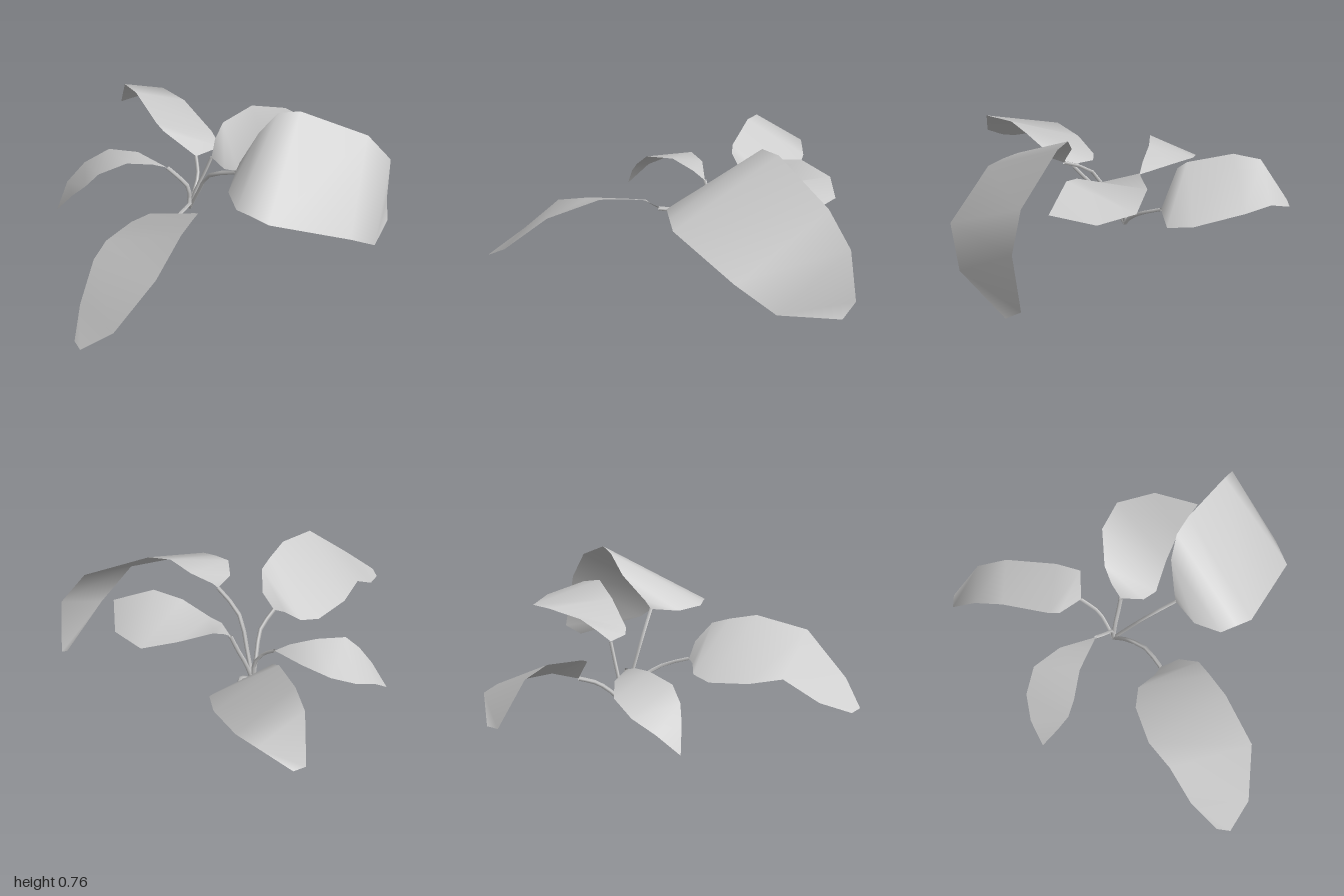
import * as THREE from 'three';

const leafGrey = new THREE.MeshStandardMaterial({ color: 0xcccccc, side: THREE.DoubleSide });
leafGrey.name = 'leafGrey';

// Each leaf: stem path, and cross rows [left edge, right edge] running from stem to tip
const root = [-0.12, 0.02, -0.06];
const plants = {
  largeFrontLeft: {
    stem: [root, [-0.095, 0.17, 0.01], [-0.05, 0.38, 0.12], [0.06, 0.475, 0.25]],
    rows: [
      [[0.09, 0.52, 0.23], [-0.02, 0.46, 0.39]],
      [[0.22, 0.65, 0.16], [-0.02, 0.46, 0.545]],
      [[0.33, 0.755, 0.15], [0.05, 0.45, 0.615]],
      [[0.45, 0.76, 0.175], [0.12, 0.43, 0.68]],
      [[0.82, 0.59, 0.27], [0.56, 0.295, 0.76]],
      [[0.965, 0.40, 0.28], [0.75, 0.12, 0.65]],
      [[0.985, 0.07, 0.235], [0.96, 0, 0.33]],
    ],
  },
  frontRight: {
    stem: [root, [-0.15, 0.17, 0.04], [-0.18, 0.23, 0.16], [-0.27, 0.275, 0.285]],
    rows: [
      [[-0.21, 0.34, 0.37], [-0.33, 0.27, 0.265]],
      [[-0.215, 0.43, 0.485], [-0.42, 0.25, 0.205]],
      [[-0.27, 0.455, 0.565], [-0.53, 0.235, 0.23]],
      [[-0.36, 0.48, 0.69], [-0.70, 0.255, 0.37]],
      [[-0.55, 0.405, 0.91], [-0.80, 0.28, 0.53]],
      [[-0.80, 0.176, 0.995], [-0.915, 0.14, 0.70]],
      [[-0.97, 0.065, 0.955], [-0.985, 0.06, 0.88]],
    ],
  },
  backRight: {
    stem: [root, [-0.13, 0.17, -0.065], [-0.18, 0.24, -0.08], [-0.235, 0.29, -0.12]],
    rows: [
      [[-0.32, 0.33, -0.12], [-0.37, 0.31, -0.285]],
      [[-0.47, 0.365, -0.125], [-0.52, 0.29, -0.385]],
      [[-0.64, 0.345, -0.095], [-0.67, 0.23, -0.375]],
      [[-0.72, 0.27, -0.10], [-0.79, 0.165, -0.305]],
      [[-0.79, 0.19, -0.14], [-0.875, 0.055, -0.205]],
    ],
  },
  back: {
    stem: [root, [-0.09, 0.08, -0.1], [-0.04, 0.15, -0.18], [-0.02, 0.2, -0.295]],
    rows: [
      [[-0.2, 0.38, -0.35], [0.15, 0.185, -0.365]],
      [[-0.23, 0.41, -0.40], [0.135, 0.2, -0.51]],
      [[-0.29, 0.465, -0.655], [0.035, 0.265, -0.78]],
      [[-0.325, 0.43, -0.81], [-0.065, 0.285, -0.915]],
      [[-0.32, 0.19, -0.975], [-0.25, 0.185, -1.0]],
    ],
  },
  left: {
    stem: [root, [-0.08, 0.15, -0.062], [-0.03, 0.26, -0.06], [0.01, 0.36, -0.06]],
    rows: [
      [[0.05, 0.43, -0.13], [0.05, 0.36, 0.065]],
      [[0.115, 0.49, -0.195], [0.115, 0.37, 0.115]],
      [[0.315, 0.51, -0.285], [0.27, 0.50, 0.12]],
      [[0.515, 0.465, -0.27], [0.43, 0.565, 0.135]],
      [[0.655, 0.45, -0.09], [0.66, 0.48, 0.17]],
    ],
  },
};

// Bent sheet: a triangle at the stem, then a smooth strip of quads
function bladeGeometry(base, rows) {
  const index = [0, 2, 1];
  for (let i = 0; i < rows.length - 1; i++) {
    const a = 1 + i * 2;
    index.push(a, a + 1, a + 2, a + 1, a + 3, a + 2);
  }
  const geo = new THREE.BufferGeometry();
  geo.setAttribute('position', new THREE.Float32BufferAttribute([base, ...rows.flat()].flat(), 3));
  geo.setIndex(index);
  geo.computeVertexNormals();
  return geo;
}

function stemGeometry(points) {
  const curve = new THREE.CatmullRomCurve3(points.map((p) => new THREE.Vector3(...p)));
  return new THREE.TubeGeometry(curve, 6, 0.012, 4);
}

export function createModel() {
  const model = new THREE.Group();
  model.name = 'pottedLeafCluster';
  for (const [name, { stem, rows }] of Object.entries(plants)) {
    const leaf = new THREE.Group();
    leaf.name = name + 'Leaf';
    const blade = new THREE.Mesh(bladeGeometry(stem[stem.length - 1], rows), leafGrey);
    blade.name = name + 'Blade';
    const stalk = new THREE.Mesh(stemGeometry(stem), leafGrey);
    stalk.name = name + 'Stem';
    leaf.add(blade, stalk);
    model.add(leaf);
  }
  return model;
}
